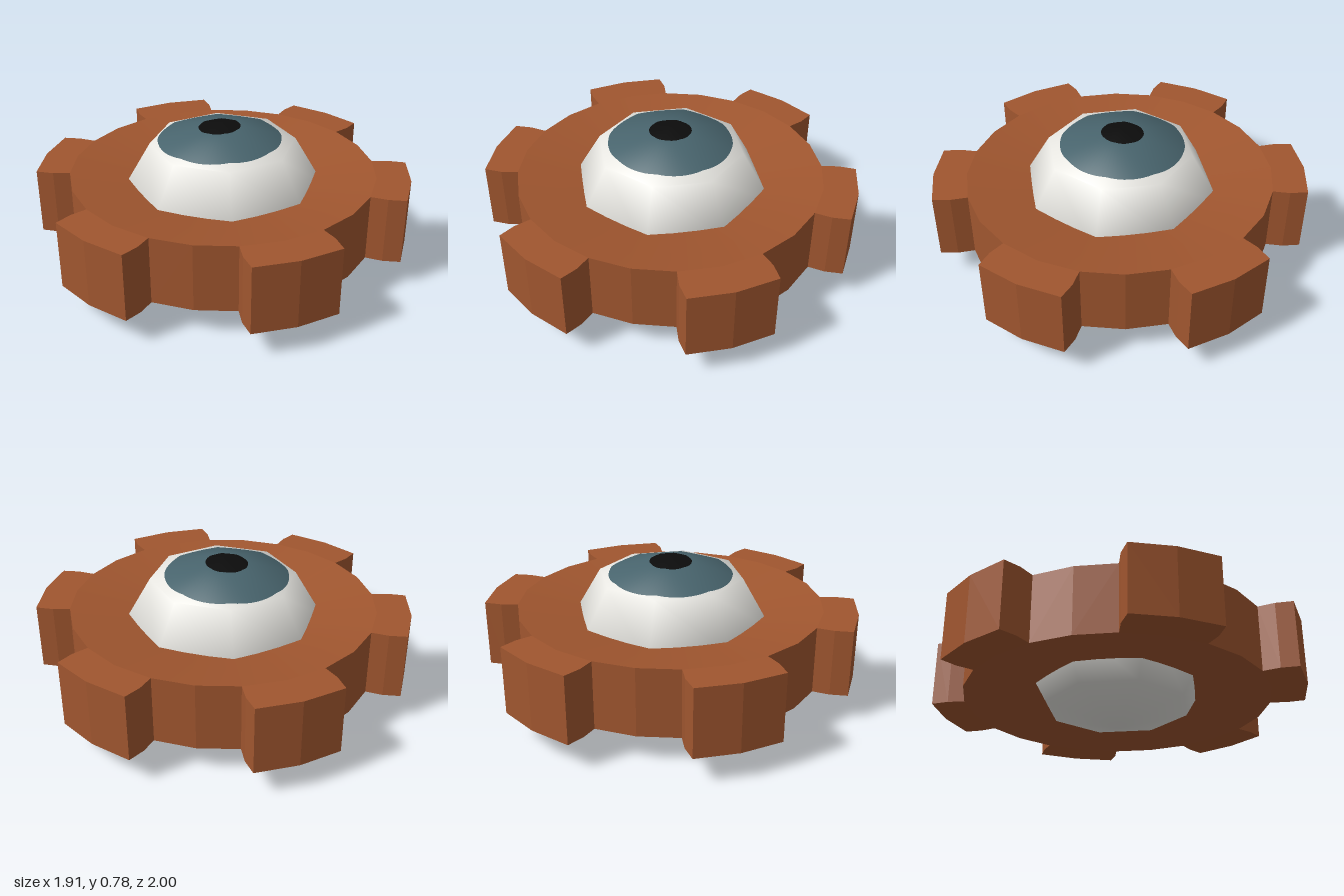
import * as THREE from 'three';

const DEG = Math.PI / 180;
const Y0 = 0.15, Y1 = 0.51;           // gear bottom and top
const ROOT = 0.82;                    // gear root radius
const EYE_R = 0.552, EYE_H = 0.39;    // eyeball half width and half height
const RING = EYE_R * Math.SQRT1_2;    // rim radius of the eye's top cap

const material = (name, color) => {
  const m = new THREE.MeshStandardMaterial({ color });
  m.name = name;
  return m;
};

// Polar radius of a slightly off-centre circle, seen from the eye's pole
const circle = (radius, cx = -0.02, cz = 0.005) => (a) => {
  const d = Math.sin(a) * cx + Math.cos(a) * cz;
  return d + Math.sqrt(d * d - cx * cx - cz * cz + radius * radius);
};

// Local angle from the middle of an octagon side
const sideAngle = (a) => (a / DEG % 45 - 22.5) * DEG;
const octagon = (a) => RING * Math.cos(22.5 * DEG) / Math.cos(sideAngle(a));

// Band of the eight-sided top cap between two polar outlines, smoothly shaded
function capBand(inner, outer) {
  const pos = [], nor = [], idx = [], n = 64;
  const up = new THREE.Vector3(0, 1, 0);
  const rimNormal = (k) => new THREE.Vector3(
    Math.sin(k * 45 * DEG) / EYE_R, 1 / EYE_H, Math.cos(k * 45 * DEG) / EYE_R).normalize();
  for (let i = 0; i <= n; i++) {
    const a = (i % n) / n * Math.PI * 2;
    const k = Math.floor((i % n) / 8);
    const t = 0.5 + Math.tan(sideAngle(a)) / (2 * Math.tan(22.5 * DEG));
    const rim = rimNormal(k).lerp(rimNormal(k + 1), t);
    for (const r of [inner(a), outer(a)]) {
      const s = r / octagon(a);
      pos.push(Math.sin(a) * r, EYE_H * (2 - s * (1 - Math.SQRT1_2)), Math.cos(a) * r);
      nor.push(...up.clone().lerp(rim, s).normalize().toArray());
    }
    if (i < n) {
      const j = i * 2;
      idx.push(j, j + 1, j + 3, j, j + 3, j + 2);
    }
  }
  const g = new THREE.BufferGeometry();
  g.setAttribute('position', new THREE.Float32BufferAttribute(pos, 3));
  g.setAttribute('normal', new THREE.Float32BufferAttribute(nor, 3));
  g.setIndex(idx);
  return g;
}

export function createModel() {
  const model = new THREE.Group();
  model.name = 'gearWithEye';
  const brown = material('rustBrown', 0xa0562f);
  const white = material('eyeWhite', 0xe6e5e0);
  const teal = material('irisTeal', 0x48646d);
  const black = material('pupilBlack', 0x0c0c0c);

  const add = (parent, name, geometry, mat) => {
    const mesh = new THREE.Mesh(geometry, mat);
    mesh.name = name;
    parent.add(mesh);
    return mesh;
  };

  // Gear body: faceted wall with shallow dished faces above and below
  const gear = new THREE.Group();
  gear.name = 'gear';
  model.add(gear);
  let wall = new THREE.CylinderGeometry(ROOT, ROOT, Y1 - Y0, 24, 1, true);
  wall = wall.toNonIndexed();
  wall.computeVertexNormals();
  wall.translate(0, (Y0 + Y1) / 2, 0);
  add(gear, 'gearWall', wall, brown);
  const dip = 0.066;
  const dish = (...points) => new THREE.LatheGeometry(points.map((p) => new THREE.Vector2(...p)), 24);
  add(gear, 'gearTop', dish([ROOT, Y1], [0.4, Y1 - dip]), brown);
  add(gear, 'gearBottom', dish([0.4, Y0 + dip], [ROOT, Y0]), brown);

  // Six teeth
  const outline = [[-15, ROOT], [0, ROOT], [15, ROOT], [14.6, 0.91], [13, 1], [0, 1], [-13, 1], [-14.6, 0.91]];
  const toothShape = new THREE.Shape(outline.map(([a, r]) =>
    new THREE.Vector2(Math.sin(a * DEG) * r, Math.cos(a * DEG) * r)));
  const tooth = new THREE.ExtrudeGeometry(toothShape, { depth: Y1 - Y0, bevelEnabled: false });
  tooth.rotateX(-Math.PI / 2).translate(0, Y0, 0);
  for (let i = 0; i < 6; i++) {
    add(gear, 'tooth' + (i + 1), tooth, brown).rotation.y = i * 60 * DEG;
  }

  // Low-poly eyeball, open where the cap sits
  const eye = new THREE.Group();
  eye.name = 'eye';
  model.add(eye);
  const ball = new THREE.SphereGeometry(1, 8, 3, 0, Math.PI * 2, Math.PI / 4, Math.PI * 0.75);
  ball.scale(EYE_R, EYE_H, EYE_R).translate(0, EYE_H, 0);
  add(eye, 'eyeball', ball, white);

  // Cap split into white rim, iris and pupil
  const iris = circle(0.33), pupil = circle(0.112);
  add(eye, 'eyeRim', capBand(iris, octagon), white);
  add(eye, 'iris', capBand(pupil, iris), teal);
  add(eye, 'pupil', capBand(() => 0, pupil), black);

  return model;
}
